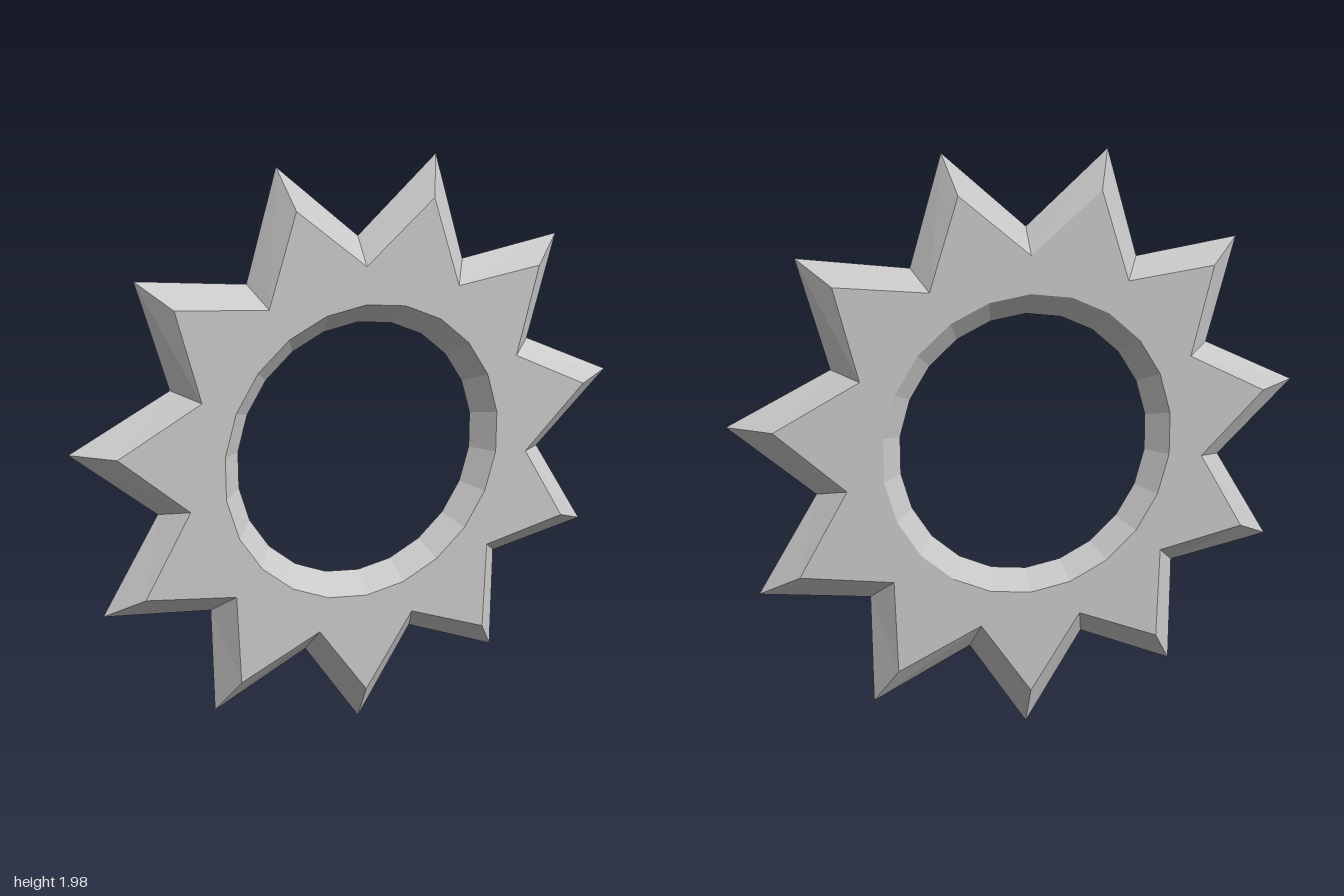
import * as THREE from 'three';

const POINTS = 11;
const SIDES = POINTS * 2;
const CENTER_Y = 1.012;
const HALF = 0.058; // half thickness
const RIDGE = -0.006; // depth of the sharp rims

// Closed cross-section: radius at a tip, radius at a valley, depth
const SECTION = [
  [1.01, 0.727, RIDGE], // sharp outer rim
  [0.874, 0.638, HALF], // front face, outer edge
  [0.513, 0.513, HALF], // front face, hole edge
  [0.441, 0.441, RIDGE], // sharp hole rim
  [0.513, 0.513, -HALF], // back face, hole edge
  [0.874, 0.638, -HALF], // back face, outer edge
];

// Sweep the section round the z axis, alternating tip and valley
function starRingGeometry() {
  const positions = [];
  const index = [];
  const n = SECTION.length;
  for (let i = 0; i < SIDES; i++) {
    const a = -Math.PI / 2 + (i / SIDES) * Math.PI * 2;
    for (const [tip, valley, z] of SECTION) {
      const r = i % 2 ? valley : tip;
      positions.push(r * Math.cos(a), r * Math.sin(a), z);
    }
    const next = (i + 1) % SIDES;
    for (let j = 0; j < n; j++) {
      const k = (j + 1) % n;
      const A = i * n + j, B = next * n + j, C = next * n + k, D = i * n + k;
      index.push(A, B, C, A, C, D);
    }
  }
  const indexed = new THREE.BufferGeometry();
  indexed.setAttribute('position', new THREE.Float32BufferAttribute(positions, 3));
  indexed.setIndex(index);
  const geometry = indexed.toNonIndexed();
  geometry.computeVertexNormals();
  return geometry;
}

export function createModel() {
  const group = new THREE.Group();
  group.name = 'spikedRing';
  const material = new THREE.MeshStandardMaterial({ color: 0xcccccc, flatShading: true });
  const ring = new THREE.Mesh(starRingGeometry(), material);
  ring.name = 'starRing';
  ring.position.y = CENTER_Y;
  group.add(ring);
  return group;
}
